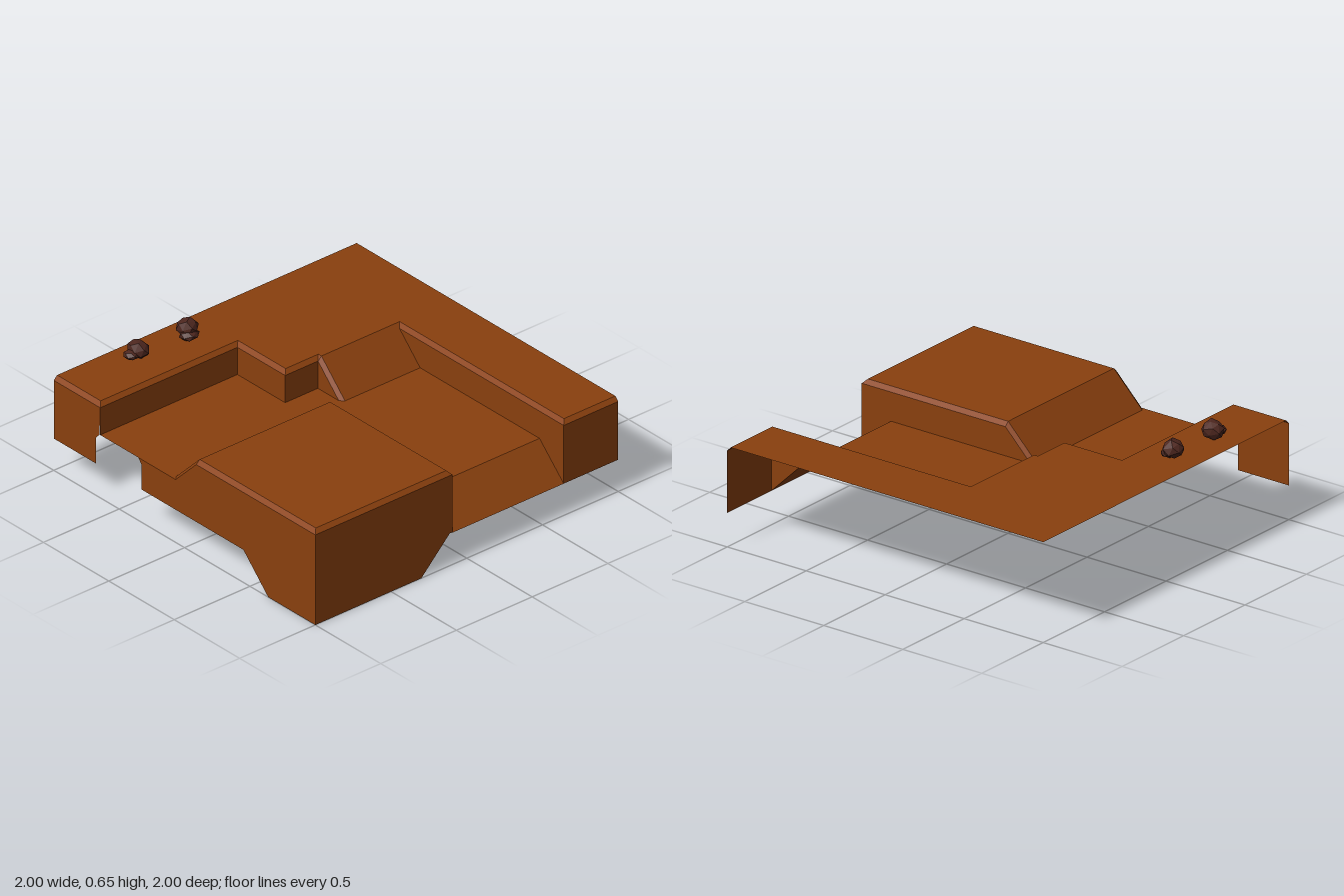
import * as THREE from 'three';
import { ConvexGeometry } from 'three/addons/geometries/ConvexGeometry.js';

const earth = new THREE.MeshStandardMaterial({ name: 'earth', color: 0x8a400e, side: THREE.DoubleSide, flatShading: true });
const stone = new THREE.MeshStandardMaterial({ name: 'stone', color: 0x4e271f, flatShading: true });

// Heights: plateau top, top of the walls below the bevel, path floor, skirt bottom
const T = 0.545, L = 0.523, F = 0.365, B = 0.185;

export function createModel() {
  const root = new THREE.Group();
  root.name = 'terrainTile';

  const add = (name, geometry, material = earth, parent = root) => {
    const mesh = new THREE.Mesh(geometry, material);
    mesh.name = name;
    parent.add(mesh);
    return mesh;
  };

  // Flat sheet from a 2D outline, placed in space by a mapping (u, v) -> [x, y, z]
  const sheet = (name, outline, place) => {
    const g = new THREE.ShapeGeometry(new THREE.Shape(outline.map(([u, v]) => new THREE.Vector2(u, v))));
    const p = g.attributes.position;
    for (let i = 0; i < p.count; i++) p.setXYZ(i, ...place(p.getX(i), p.getY(i)));
    g.computeVertexNormals();
    return add(name, g);
  };
  const level = (name, y, outline) => sheet(name, outline.map(([x, z]) => [x, -z]), (u, v) => [u, y, -v]);
  const frontWall = (name, z, outline) => sheet(name, outline, (u, v) => [u, v, z]);
  const rightWall = (name, x, outline) => sheet(name, outline, (u, v) => [x, v, u]);          // faces -x
  const leftWall = (name, x, outline) => sheet(name, outline.map(([z, y]) => [-z, y]), (u, v) => [x, v, -u]); // faces +x

  // Strip of flat quads between a lower and an upper path
  const strip = (name, low, high) => {
    const v = [];
    for (let i = 0; i < low.length - 1; i++) {
      v.push(...low[i], ...low[i + 1], ...high[i + 1], ...low[i], ...high[i + 1], ...high[i]);
    }
    const g = new THREE.BufferGeometry();
    g.setAttribute('position', new THREE.Float32BufferAttribute(v, 3));
    g.computeVertexNormals();
    return add(name, g);
  };

  // Sunken path
  level('pathFloor', F, [[-1, -0.645], [-0.094, -0.645], [-0.094, -0.28], [0.122, -0.28], [0.122, -0.12],
    [0.144, -0.098], [0.64, -0.098], [0.64, 0.815], [-0.095, 0.815], [-0.095, -0.068],
    [-0.117, -0.09], [-0.978, -0.09], [-1, -0.068]]);
  strip('pathFrontSlope', [[-0.095, B, 1], [0.64, B, 1]], [[-0.095, F, 0.815], [0.64, F, 0.815]]);

  // Plateau around the back and left
  level('plateauTop', T, [[-0.978, -1], [-0.978, -0.667], [-0.072, -0.667], [-0.072, -0.302], [0.144, -0.302],
    [0.144, -0.278], [0.66, -0.278], [0.66, 0.978], [1, 0.978], [1, -1]]);
  strip('plateauBackBevel',
    [[-1, L, -1], [-1, L, -0.645], [-0.094, L, -0.645], [-0.094, L, -0.28], [0.122, L, -0.28], [0.122, L, -0.278], [0.122, F, -0.12]],
    [[-0.978, T, -1], [-0.978, T, -0.667], [-0.072, T, -0.667], [-0.072, T, -0.302], [0.144, T, -0.302], [0.144, T, -0.278], [0.144, F, -0.098]]);
  const steps = [[-1, -0.645], [-0.094, -0.645], [-0.094, -0.28], [0.122, -0.28]];
  strip('plateauSteppedWall', steps.map(([x, z]) => [x, F, z]), steps.map(([x, z]) => [x, L, z]));
  rightWall('plateauEndWall', -1, [[-1, B], [-0.677, B], [-0.677, 0.335], [-0.65, F], [-0.645, L], [-1, L]]);
  strip('plateauFrontBevel', [[0.64, L, -0.256], [0.64, L, 1], [1, L, 1]],
    [[0.66, T, -0.278], [0.66, T, 0.978], [1, T, 0.978]]);
  rightWall('plateauPathWall', 0.64, [[-0.256, L], [-0.098, F], [0.815, F], [1, B], [1, L]]);
  frontWall('plateauFrontWall', 1, [[0.64, B], [1, B], [1, L], [0.64, L]]);

  // Ramp from the path up to the plateau
  sheet('ramp', [[0.144, -0.098], [0.64, -0.098], [0.64, -0.256], [0.66, -0.278], [0.144, -0.278]].map(([x, z]) => [x, -z]),
    (x, v) => [x, F + v - 0.098, -v]);
  rightWall('rampSide', 0.122, [[-0.28, F], [-0.12, F], [-0.278, L], [-0.28, L]]);

  // Raised block at the front right corner, sloping down at its back
  level('blockTop', T, [[-0.978, 0.09], [-0.117, 0.09], [-0.117, 0.978], [-0.978, 0.978]]);
  strip('blockBackSlope', [[-0.117, F, -0.09], [-0.978, F, -0.09]], [[-0.117, T, 0.09], [-0.978, T, 0.09]]);
  strip('blockBevel',
    [[-1, F, -0.068], [-1, L, 0.09], [-1, L, 1], [-0.095, L, 1], [-0.095, L, 0.09], [-0.095, F, -0.068]],
    [[-0.978, F, -0.09], [-0.978, T, 0.09], [-0.978, T, 0.978], [-0.117, T, 0.978], [-0.117, T, 0.09], [-0.117, F, -0.09]]);
  frontWall('blockFrontWall', 1, [[-1, 0], [-0.3, 0], [-0.11, 0.19], [-0.095, B], [-0.095, L], [-1, L]]);
  leftWall('blockPathWall', -0.095, [[-0.068, F], [0.09, L], [1, L], [1, B], [0.815, F]]);
  rightWall('blockOuterWall', -1, [[1, 0], [0.64, 0], [0.45, 0.19], [-0.33, 0.19], [-0.33, 0.335], [-0.353, F],
    [-0.068, F], [0.09, L], [1, L]]);

  // Faceted stones, each a main lump with a smaller one leaning on it
  let seed = 7;
  const rand = () => (seed = (seed * 16807) % 2147483647) / 2147483647;
  const lump = (parent, name, x, y, z, rx, ry, rz) => {
    const points = [];
    for (let i = 0; i < 20; i++) {
      const h = 1 - 2 * (i + 0.5) / 20, a = i * 2.4, r = Math.sqrt(1 - h * h), k = 0.88 + 0.2 * rand();
      points.push(new THREE.Vector3(x + rx * k * r * Math.cos(a), y + ry * k * h, z + rz * k * r * Math.sin(a)));
    }
    add(name, new ConvexGeometry(points), stone, parent);
  };
  const rocks = [
    [[-0.56, 0.6, -0.86, 0.052, 0.054, 0.064], [-0.61, 0.582, -0.86, 0.036, 0.026, 0.045]],
    [[-0.24, 0.603, -0.86, 0.058, 0.052, 0.062], [-0.25, 0.575, -0.83, 0.056, 0.03, 0.045]],
  ];
  rocks.forEach(([main, small], i) => {
    const rock = new THREE.Group();
    rock.name = `rock${i + 1}`;
    lump(rock, 'rockMain', ...main);
    lump(rock, 'rockLump', ...small);
    root.add(rock);
  });

  return root;
}
